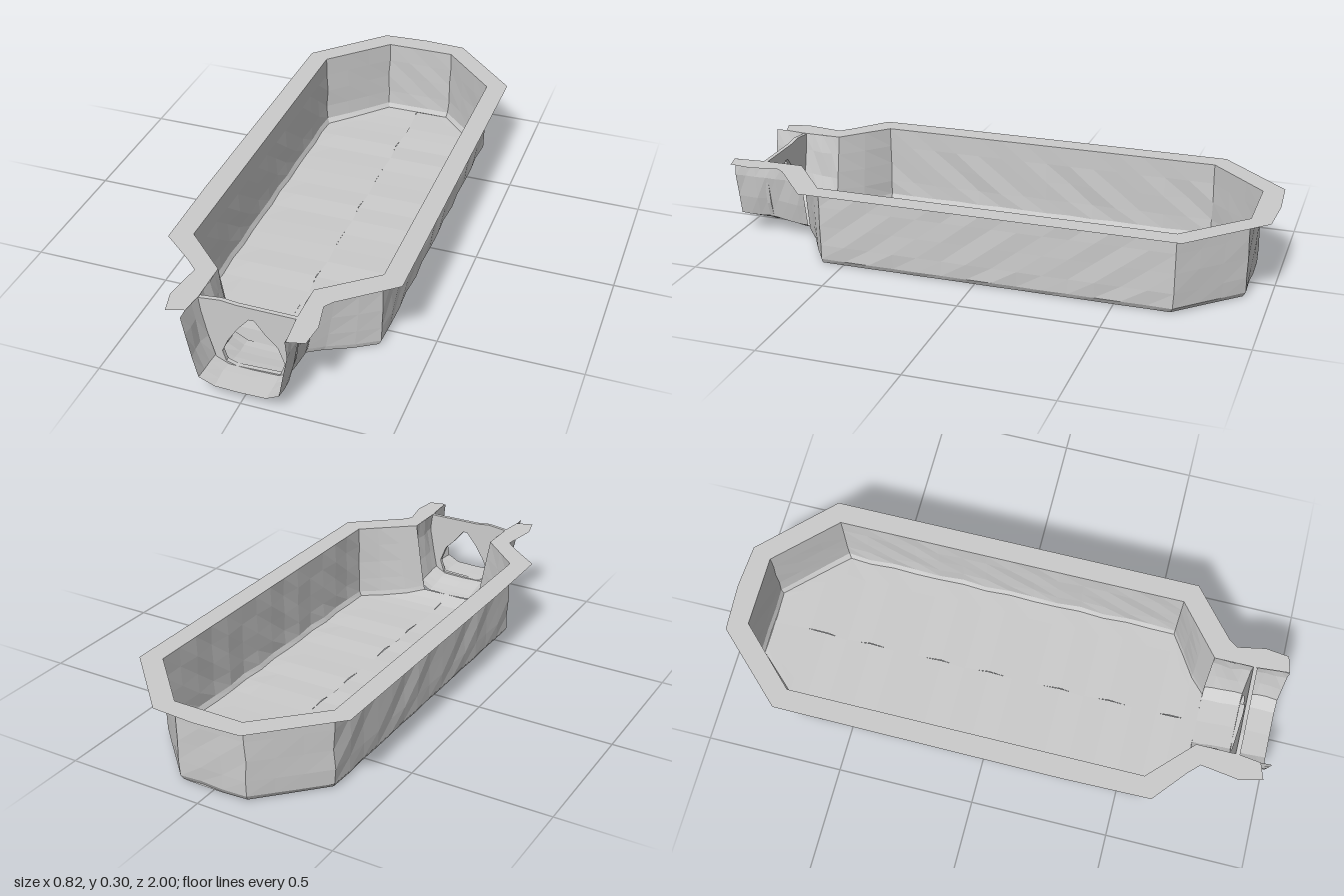
import * as THREE from 'three';

const TOP = 0.3;
const material = new THREE.MeshStandardMaterial({ color: 0xcccccc, side: THREE.DoubleSide, flatShading: true });

// Skin between rows of points that all have the same length
function loft(rows) {
  const n = rows[0].length, index = [];
  for (let r = 0; r < rows.length - 1; r++) {
    for (let i = 0; i < n - 1; i++) {
      const a = r * n + i, b = a + n;
      index.push(a, b, a + 1, a + 1, b, b + 1);
    }
  }
  const g = new THREE.BufferGeometry();
  g.setAttribute('position', new THREE.Float32BufferAttribute(rows.flat(2), 3));
  g.setIndex(index);
  g.computeVertexNormals();
  return g;
}

// Cut a polyline into short, even steps
function resample(points, step) {
  const out = [];
  for (let i = 0; i < points.length - 1; i++) {
    const [a, b] = [points[i], points[i + 1]];
    const n = Math.max(1, Math.round(Math.hypot(b[0] - a[0], b[1] - a[1]) / step));
    for (let k = 0; k < n; k++) out.push([a[0] + (b[0] - a[0]) * k / n, a[1] + (b[1] - a[1]) * k / n]);
  }
  out.push(points[points.length - 1]);
  return out;
}

// Repeatable unevenness of the hand-formed surface
const ripple = (a, b, c) => Math.sin(a * 31 + b * 17) * Math.cos(b * 23 + c * 41);
const smooth = THREE.MathUtils.smoothstep;
const floorHeight = z => 0.007 + 0.02 * smooth(z, 0.62, 0.75) + 0.022 * smooth(z, 0.74, 0.9);
const toShape = points => new THREE.Shape(points.map(p => new THREE.Vector2(...p)));

export function createModel() {
  const group = new THREE.Group();
  const add = (name, geometry) => {
    const mesh = new THREE.Mesh(geometry, material);
    mesh.name = name;
    group.add(mesh);
    return mesh;
  };

  // Basin plan, from the left of the neck around the back to the right of it
  const plan = resample([
    [0.15, 0.73], [0.335, 0.58], [0.335, -0.71], [0.13, -0.918],
    [-0.13, -0.918], [-0.335, -0.71], [-0.335, 0.58], [-0.18, 0.73]
  ], 0.09);

  // Walls taper inward at the neck and round off at the floor
  function basinRow(t, scale, lump) {
    return plan.map(([x, z]) => {
      const neck = smooth(z, 0.58, 0.73);
      const px = x * scale * (1 - 0.27 * neck * (1 - t));
      const base = floorHeight(z);
      const y = base + (TOP - base) * t;
      const d = lump * (1 - neck) * ripple(x, y, z);
      const backInset = z < -0.7 ? (1 - Math.max(scale, 0.97)) * 0.4 + d * 0.5 : 0;
      return [px + d * Math.sign(x), y + d * 0.4, z + backInset];
    });
  }
  add('basinWall', loft([
    basinRow(1, 1, 0), basinRow(0.75, 1, 0.004), basinRow(0.5, 1, 0.005),
    basinRow(0.25, 1, 0.006), basinRow(0.06, 0.995, 0.004), basinRow(0, 0.965, 0.003)
  ]));
  const floorScales = [0.965, 0.75, 0.5, 0.25, 0];
  add('basinFloor', loft(floorScales.map((s, i) => basinRow(0, s, i ? 0.006 : 0.003))));

  // U-shaped outlet channel, rising slightly to its open lip
  const section = [
    [-0.18, 1], [-0.168, 0.75], [-0.155, 0.4], [-0.132, 0.1], [-0.085, 0.01], [0, 0],
    [0.085, 0.01], [0.128, 0.1], [0.143, 0.4], [0.155, 0.75], [0.15, 1]
  ];
  const stations = [[0.73, 1], [0.76, 1], [0.8, 0.99], [0.84, 1.02], [0.88, 1], [0.92, 1.05], [0.96, 1.06], [1, 1.05]];
  const channelRows = stations.map(([z, s]) => section.map(([x, t]) => {
    const base = floorHeight(z);
    const d = t < 1 ? 0.004 * ripple(x, t, z) : 0;
    return [x * s + d, base + (TOP - base) * t, z];
  }));
  add('outletChannel', loft(channelRows));

  // Flat rim running around the basin and both sides of the channel
  const rim = toShape([
    [-0.25, 0.98], [-0.27, 0.9], [-0.25, 0.76], [-0.29, 0.72], [-0.41, 0.62], [-0.415, 0.3],
    [-0.41, -0.74], [-0.17, -0.99], [0, -1], [0.16, -0.99], [0.41, -0.74], [0.41, 0.62],
    [0.23, 0.77], [0.21, 0.8], [0.23, 0.9], [0.22, 0.985], [0.16, 1],
    [0.15, 0.88], [0.15, 0.73], [0.335, 0.58], [0.335, -0.71], [0.13, -0.918],
    [-0.13, -0.918], [-0.335, -0.71], [-0.335, 0.58], [-0.18, 0.73], [-0.18, 0.88], [-0.19, 0.96]
  ]);
  const rimGeometry = new THREE.ShapeGeometry(rim);
  rimGeometry.rotateX(Math.PI / 2);
  add('rim', rimGeometry).position.y = TOP;

  // Thin gate across the channel with a rounded triangular opening
  const gate = toShape([
    [-0.185, 0.297], [-0.105, 0.306], [-0.05, 0.3], [0.15, 0.299], [0.158, 0.24],
    [0.143, 0.13], [0.125, 0.07], [0.085, 0.046], [-0.085, 0.046], [-0.13, 0.07], [-0.155, 0.16]
  ]);
  gate.holes.push(toShape([
    [-0.01, 0.252], [0.008, 0.252], [0.045, 0.205], [0.085, 0.165], [0.108, 0.105],
    [0.092, 0.056], [-0.06, 0.05], [-0.095, 0.062], [-0.107, 0.1], [-0.085, 0.15], [-0.05, 0.205]
  ]));
  add('gate', new THREE.ExtrudeGeometry(gate, { depth: 0.015, bevelEnabled: false })).position.z = 0.87;

  return group;
}
